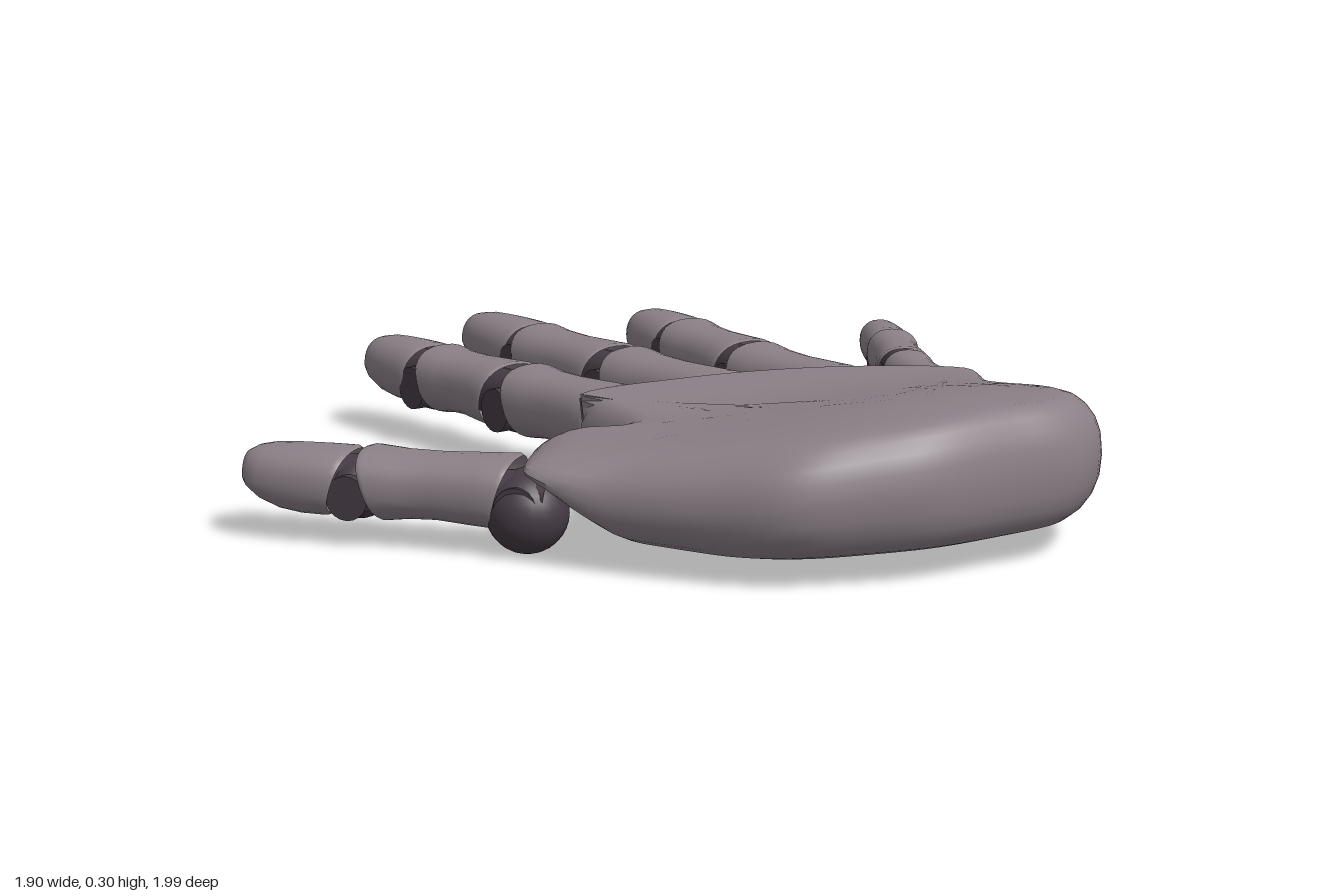
import * as THREE from 'three';
import { toCreasedNormals } from 'three/addons/utils/BufferGeometryUtils.js';

const shell = new THREE.MeshStandardMaterial({ color: 0x8b8087, side: THREE.DoubleSide });
const dark = new THREE.MeshStandardMaterial({ color: 0x463b45, side: THREE.DoubleSide });
const UP = new THREE.Vector3(0, 1, 0);
const step = THREE.MathUtils.smoothstep;

// Skin a row of equally sized rings of points
function loft(rings, closed = true) {
  const n = rings[0].length, pos = [], idx = [];
  rings.forEach(r => r.forEach(p => pos.push(p.x, p.y, p.z)));
  for (let i = 0; i < rings.length - 1; i++) {
    for (let j = 0; j < (closed ? n : n - 1); j++) {
      const a = i * n + j, b = i * n + (j + 1) % n;
      idx.push(a, b, b + n, a, b + n, a + n);
    }
  }
  const g = new THREE.BufferGeometry();
  g.setAttribute('position', new THREE.Float32BufferAttribute(pos, 3));
  g.setIndex(idx);
  g.computeVertexNormals();
  return g;
}

function add(parent, name, geometry, material) {
  const m = new THREE.Mesh(geometry, material);
  m.name = name;
  parent.add(m);
  return m;
}

// Finger shell from a to b; stations are [t, width, top, bottom] scales, slants shorten the underside
function segment(a, b, w, h, stations, slantA, slantB) {
  const d = b.clone().sub(a), len = d.length();
  d.normalize();
  const side = UP.clone().cross(d).normalize(), up = d.clone().cross(side);
  return loft(stations.map(([t, ws, top, bottom]) => {
    const ring = [];
    for (let j = 0; j < 28; j++) {
      const ang = j / 28 * Math.PI * 2, c = Math.cos(ang), s = Math.sin(ang);
      const x = Math.sign(c) * Math.abs(c) ** 0.85, y = Math.sign(s) * Math.abs(s) ** 0.85;
      const under = (1 - y) / 2;
      const along = t * len + under * (slantA * (1 - t) - slantB * t);
      ring.push(a.clone().addScaledVector(d, along)
        .addScaledVector(side, x * w * ws)
        .addScaledVector(up, y * h * (y > 0 ? top : bottom)));
    }
    return ring;
  }));
}

const PHALANX = [
  [0, 0.93, 0.93, 0.93], [0.03, 1, 1, 1], [0.2, 0.95, 0.97, 0.97], [0.5, 0.87, 0.92, 0.9],
  [0.75, 0.9, 0.93, 0.92], [0.96, 1, 1, 1], [1, 0.94, 0.95, 0.95],
];
const TIP = [
  [0, 0.92, 0.92, 0.92], [0.05, 1, 1, 1], [0.3, 0.98, 1, 1], [0.55, 0.93, 0.98, 0.9], [0.75, 0.85, 0.94, 0.66],
  [0.88, 0.7, 0.85, 0.36], [0.96, 0.45, 0.7, 0.08], [0.99, 0.22, 0.55, -0.1], [1, 0.01, 0.4, -0.36],
];

// Each part is [x0, z0, x1, z1], from knuckle to tip
const FINGERS = [
  { name: 'indexFinger', w: 0.09, h: 0.076, y: 0.145, root: [-0.155, 0.07],
    parts: [[-0.155, 0.0, -0.15, -0.32], [-0.15, -0.36, -0.145, -0.64], [-0.145, -0.665, -0.14, -0.89]] },
  { name: 'middleFinger', w: 0.091, h: 0.076, y: 0.145, root: [0.09, 0.1],
    parts: [[0.11, 0.03, 0.14, -0.34], [0.15, -0.385, 0.18, -0.715], [0.19, -0.735, 0.215, -1.0]] },
  { name: 'ringFinger', w: 0.09, h: 0.074, y: 0.145, root: [0.32, 0.18],
    parts: [[0.345, 0.12, 0.4, -0.21], [0.42, -0.245, 0.495, -0.55], [0.505, -0.57, 0.55, -0.78]] },
  { name: 'littleFinger', w: 0.062, h: 0.058, y: 0.145, root: [0.5, 0.27],
    parts: [[0.535, 0.22, 0.65, 0.02], [0.675, -0.01, 0.82, -0.2], [0.83, -0.215, 0.925, -0.36]] },
  { name: 'thumb', w: 0.09, h: 0.07, y: 0.115, root: [-0.58, 0.32],
    parts: [[-0.605, 0.25, -0.775, -0.01], [-0.79, -0.02, -0.91, -0.22]] },
];

function createFinger({ name, w, h, y, root, parts }) {
  const g = new THREE.Group();
  g.name = name;
  let prev = new THREE.Vector3(root[0], y - 0.01, root[1]);
  parts.forEach(([x0, z0, x1, z1], i) => {
    const a = new THREE.Vector3(x0, y, z0), b = new THREE.Vector3(x1, y, z1);
    const last = i === parts.length - 1;
    const sw = w * (last && name !== 'thumb' ? 0.87 : 1 - 0.03 * i);
    add(g, last ? 'fingertip' : 'phalanx',
      segment(a, b, sw, h * (1 - 0.05 * i), last ? TIP : PHALANX, 0.04, last ? 0 : 0.045), shell);
    // Hinge barrel and its ball, sitting low in the gap before this part
    const mid = prev.clone().lerp(a, i ? 0.5 : 0.75);
    const turn = Math.atan2(x1 - x0, z1 - z0);
    const ball = add(g, 'jointBall', new THREE.SphereGeometry(1, 20, 14), dark);
    ball.scale.set(w * 0.74, h * 0.86, h * 0.85);
    ball.position.copy(mid).setY(y - h * 0.17);
    ball.rotation.y = turn;
    const barrel = add(g, 'jointBarrel',
      new THREE.CylinderGeometry(h * 0.62, h * 0.62, w * 1.6, 20).rotateZ(Math.PI / 2), dark);
    barrel.position.copy(mid).setY(y - h * 0.28);
    barrel.rotation.y = turn;
    // Inner rod running into the part
    const rodEnd = a.clone().lerp(b, last ? 0.5 : 1);
    add(g, 'innerRod', new THREE.TubeGeometry(new THREE.LineCurve3(prev, rodEnd), 1, w * 0.58, 14), dark);
    prev = b;
  });
  return g;
}

// Palm outline seen from above; the first five points are the knuckle edge
const OUTLINE = [
  [-0.27, 0.015], [-0.02, 0.035], [0.19, 0.08], [0.4, 0.155], [0.575, 0.27],
  [0.53, 0.42], [0.46, 0.57], [0.39, 0.76], [0.3, 0.9], [0.15, 0.99], [-0.02, 0.98], [-0.2, 0.955],
  [-0.32, 0.9], [-0.44, 0.82], [-0.53, 0.67], [-0.61, 0.5], [-0.67, 0.36], [-0.59, 0.265],
  [-0.5, 0.19], [-0.455, 0.235], [-0.38, 0.24], [-0.325, 0.18],
];
const CENTRE = new THREE.Vector3(0, 0, 0.65);
const topY = (x, z) => 0.225 + 0.078 * step(z, 0.22, 0.85) * Math.max(0, 1 - (x / 0.62) ** 2) - 0.02 * (x / 0.6) ** 2;
const thumbLift = (x, z) => 0.09 * step(-x, 0.42, 0.6) * (1 - step(z, 0.34, 0.52));
const bottomY = (x, z) => 0.022 + 0.035 * (x / 0.6) ** 2 + 0.04 * step(z, 0.65, 1)
  + 0.025 * (1 - step(z, 0, 0.3)) + thumbLift(x, z);

function createPalm() {
  const g = new THREE.Group();
  g.name = 'palm';
  const SUB = 6, n = OUTLINE.length * SUB, edge = 4 * SUB;
  const curve = new THREE.CatmullRomCurve3(OUTLINE.map(([x, z]) => new THREE.Vector3(x, 0, z)), true, 'centripetal');
  const rim = Array.from({ length: n }, (_, i) => curve.getPoint(i / n));
  const place = (p, s, v) => {
    const q = CENTRE.clone().lerp(p, s), t = topY(q.x, q.z), b = bottomY(q.x, q.z);
    return q.setY((t + b) / 2 + v * (t - b) / 2);
  };
  // Square edge along the knuckles, round elsewhere, tighter by the thumb
  const round = i => i <= edge ? 0 : i > 16 * SUB ? 0.12 : 0.2 * step(i, edge, edge + SUB);
  const profile = [];
  const inner = [0.001, 0.25, 0.5, 0.7, 0.87];
  inner.forEach(q => profile.push([q, 1]));
  for (let k = 0; k <= 10; k++) profile.push([null, Math.PI / 2 - k * Math.PI / 10]);
  inner.reverse().forEach(q => profile.push([q, -1]));
  const rings = profile.map(([q, f]) => rim.map((p, i) => {
    const r = round(i);
    if (q !== null) return place(p, (1 - r) * q, f);
    const v = Math.sign(f) * Math.abs(Math.sin(f)) ** 0.85;
    const recess = i <= edge ? 0.03 * (1 - v) / 2 : 0;
    return place(p, 1 - r * (1 - Math.cos(f)) - recess, v);
  }));
  add(g, 'palmShell', toCreasedNormals(loft(rings), 0.75), shell);
  // Dark wall from which the fingers emerge
  const wall = rim.slice(0, edge + 1);
  add(g, 'knucklePlate', loft([[1.004, 0.9], [0.977, -0.94]].map(([s, v]) => wall.map(p => place(p, s, v))), false), dark);
  return g;
}

export function createModel() {
  const model = new THREE.Group();
  model.name = 'mechanicalHand';
  model.add(createPalm());
  FINGERS.forEach(f => model.add(createFinger(f)));
  // Large ball under the base of the thumb
  add(model, 'thumbBall', new THREE.SphereGeometry(0.08, 24, 16), dark).position.set(-0.605, 0.08, 0.275);
  return model;
}
